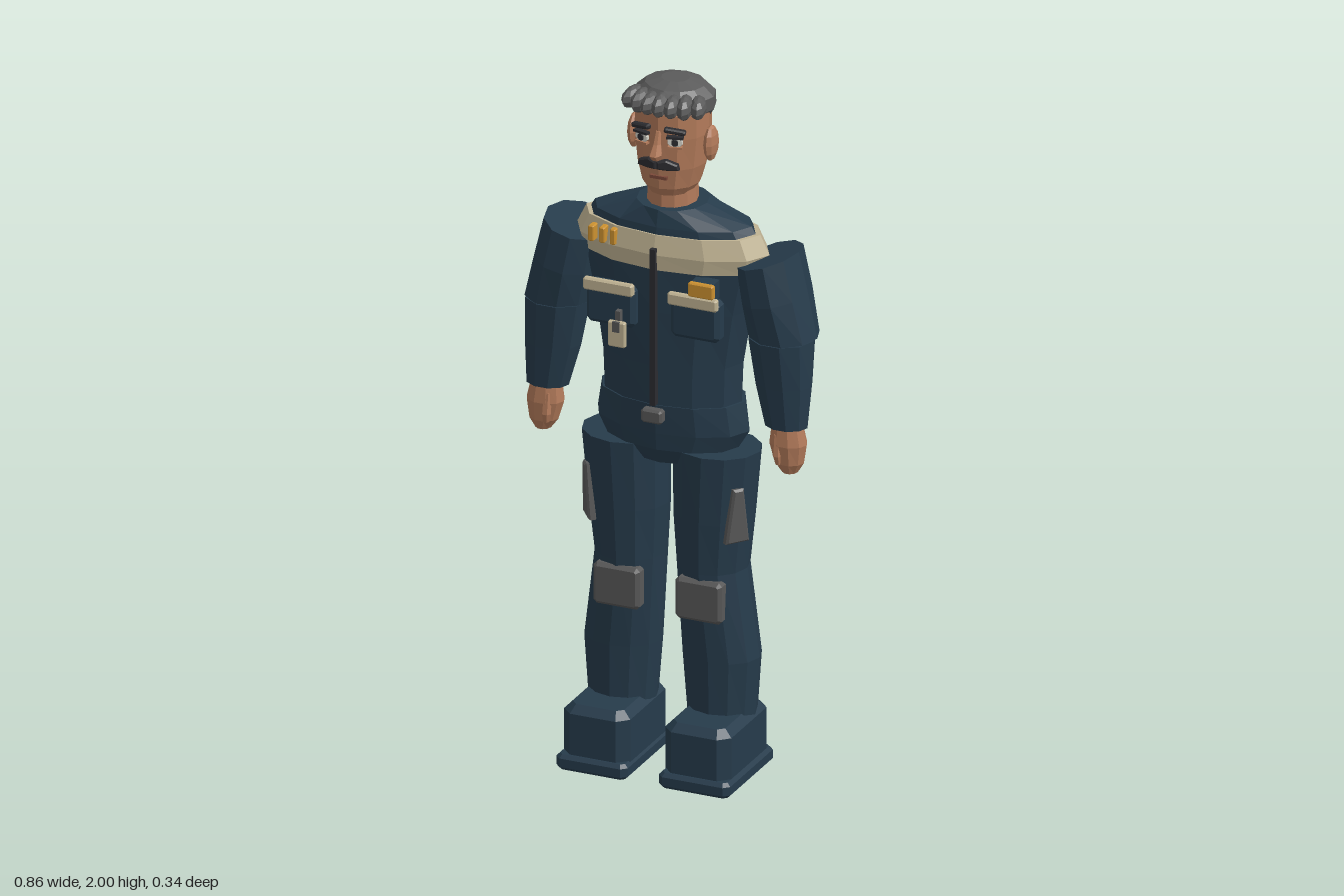
import * as THREE from 'three';

const mat = (name, color, double) => {
  const m = new THREE.MeshStandardMaterial({ color, flatShading: true });
  m.name = name;
  if (double) m.side = THREE.DoubleSide;
  return m;
};

export function createModel() {
  const navy = mat('navy cloth', 0x263b4b);
  const cream = mat('cream trim', 0xc0b393);
  const gold = mat('gold', 0xcc9130);
  const grey = mat('grey padding', 0x585858);
  const hairGrey = mat('grey hair', 0x5b5b5b);
  const skin = mat('skin', 0xb27a5a);
  const dark = mat('dark', 0x2c2c30);
  const white = mat('eye white', 0xd8d6cc);
  const lip = mat('lip', 0x7d4a3a);

  const model = new THREE.Group();
  model.name = 'uniformedMan';

  const add = (name, geo, material, x = 0, y = 0, z = 0) => {
    const m = new THREE.Mesh(geo, material);
    m.name = name;
    m.position.set(x, y, z);
    model.add(m);
    return m;
  };

  // Closed skin over elliptical rings, listed bottom up: [y, cx, cz, rx, rz, slope]
  const loft = (rings, n = 12) => {
    const pos = [];
    const pt = ([y, cx, cz, rx, rz, slope = 0], i) => {
      const a = (i / n) * Math.PI * 2, dx = Math.cos(a) * rx;
      return [cx + dx, y + dx * slope, cz + Math.sin(a) * rz];
    };
    const tri = (...p) => p.forEach((v) => pos.push(...v));
    const last = rings.length - 1;
    for (let i = 0; i < n; i++) {
      for (let j = 0; j < last; j++) {
        const a = pt(rings[j], i), b = pt(rings[j + 1], i);
        const c = pt(rings[j + 1], i + 1), d = pt(rings[j], i + 1);
        tri(a, b, c);
        tri(a, c, d);
      }
      const [bot, top] = [rings[0], rings[last]];
      tri([bot[1], bot[0], bot[2]], pt(bot, i), pt(bot, i + 1));
      tri([top[1], top[0], top[2]], pt(top, i + 1), pt(top, i));
    }
    const g = new THREE.BufferGeometry();
    g.setAttribute('position', new THREE.Float32BufferAttribute(pos, 3));
    g.computeVertexNormals();
    return g;
  };

  // Bevelled plate centred on its own depth, facing +z
  const plate = (pts, depth, bevel) => {
    const g = new THREE.ExtrudeGeometry(new THREE.Shape(pts.map((p) => new THREE.Vector2(...p))), {
      depth: depth - 2 * bevel, bevelEnabled: bevel > 0, bevelSize: bevel,
      bevelThickness: bevel, bevelOffset: -bevel, bevelSegments: 1,
    });
    return g.translate(0, 0, bevel - depth / 2);
  };
  const chamferBox = (w, h, d, c, bevel = c) => {
    const x = w / 2, y = h / 2;
    return plate([[-x + c, -y], [x - c, -y], [x, -y + c], [x, y - c],
      [x - c, y], [-x + c, y], [-x, y - c], [-x, -y + c]], d, bevel);
  };
  const box = (w, h, d) => new THREE.BoxGeometry(w, h, d);

  // Torso, shoulders and pelvis
  add('pelvis', loft([
    [0.905, 0, -0.035, 0.11, 0.085], [0.95, 0, -0.04, 0.195, 0.11],
    [1.0, 0, -0.045, 0.225, 0.12], [1.085, 0, -0.045, 0.212, 0.125],
  ]), navy);
  add('jacket', loft([
    [1.07, 0, -0.042, 0.203, 0.119], [1.2, 0, -0.042, 0.208, 0.121],
    [1.36, 0, -0.042, 0.235, 0.123], [1.5, 0, -0.042, 0.268, 0.123], [1.56, 0, -0.042, 0.268, 0.12],
  ]), navy);
  add('yoke', loft([
    [1.485, 0, -0.043, 0.268, 0.126], [1.53, 0, -0.043, 0.285, 0.13], [1.585, 0, -0.043, 0.258, 0.118],
  ]), cream);
  add('shoulders', loft([
    [1.575, 0, -0.043, 0.25, 0.115], [1.605, 0, -0.043, 0.232, 0.112], [1.652, 0, -0.042, 0.1, 0.1],
  ]), navy);

  // Zip and buckle
  add('zip', box(0.016, 0.46, 0.024), dark, 0, 1.32, 0.085);
  add('buckle', chamferBox(0.062, 0.04, 0.03, 0.006), grey, 0, 1.06, 0.091);

  // Chest pockets with trimmed flaps
  for (const s of [-1, 1]) {
    add('chestPocket', chamferBox(0.145, 0.12, 0.05, 0.012), navy, s * 0.125, 1.365, 0.075);
    add('pocketTrim', chamferBox(0.148, 0.036, 0.02, 0.005), cream, s * 0.125, 1.423, 0.105);
  }
  add('badgeBar', chamferBox(0.075, 0.042, 0.018, 0.004), gold, 0.15, 1.46, 0.105);
  add('badgeBacking', box(0.066, 0.05, 0.04), navy, 0.15, 1.455, 0.078);
  for (let i = 0; i < 3; i++) add('rankBar', chamferBox(0.017, 0.046, 0.03, 0.003), gold, -0.19 + i * 0.032, 1.557, 0.065);
  add('passCard', chamferBox(0.052, 0.075, 0.016, 0.004), cream, -0.093, 1.295, 0.12);
  add('passClip', box(0.02, 0.03, 0.008), grey, -0.093, 1.318, 0.127);
  add('passStrap', box(0.014, 0.05, 0.02), grey, -0.093, 1.335, 0.108);

  // Limbs, built once per side
  for (const s of [-1, 1]) {
    add('upperArm', loft([
      [1.305, s * 0.334, -0.033, 0.097, 0.095, s * 0.1],
      [1.42, s * 0.309, -0.04, 0.092, 0.112, s * 0.2],
      [1.53, s * 0.286, -0.043, 0.086, 0.112, s * 0.3],
    ], 10), navy);
    add('forearm', loft([
      [1.06, s * 0.354, -0.002, 0.062, 0.05], [1.18, s * 0.342, -0.012, 0.082, 0.068],
      [1.31, s * 0.331, -0.022, 0.094, 0.088],
    ], 10), navy);
    add('hand', loft([
      [0.926, s * 0.366, 0, 0.022, 0.024], [0.955, s * 0.364, 0, 0.042, 0.037],
      [1.01, s * 0.36, 0, 0.055, 0.043], [1.07, s * 0.357, 0, 0.044, 0.036],
    ], 10), skin);
    add('thumb', loft([
      [0.955, s * 0.345, 0.032, 0.009, 0.008], [0.98, s * 0.343, 0.034, 0.014, 0.013],
      [1.04, s * 0.342, 0.026, 0.013, 0.012],
    ], 6), skin);

    add('leg', loft([
      [0.17, s * 0.147, -0.04, 0.097, 0.09], [0.34, s * 0.146, -0.04, 0.111, 0.094],
      [0.6, s * 0.122, -0.037, 0.1, 0.1], [0.75, s * 0.126, -0.035, 0.114, 0.105],
      [0.95, s * 0.135, -0.033, 0.125, 0.108],
    ]), navy);
    add('kneePad', chamferBox(0.138, 0.122, 0.045, 0.01), grey, s * 0.122, 0.523, 0.047);
    const pocket = add('thighPocket', plate(
      [[-0.036, -0.08], [0.036, -0.08], [0.016, 0.08], [-0.016, 0.08]], 0.026, 0.006,
    ), grey, s * 0.219, 0.78, 0.027);
    pocket.rotation.set(0.04, s * 0.92, 0, 'YXZ');

    // Boots
    const upper = add('boot', chamferBox(0.196, 0.29, 0.175, 0.03, 0.022), navy, s * 0.15, 0.1, 0.01);
    const sole = add('bootSole', chamferBox(0.212, 0.31, 0.045, 0.016, 0.01), navy, s * 0.152, 0.0225, 0.015);
    upper.rotation.x = sole.rotation.x = -Math.PI / 2;
  }

  // Neck and head
  add('neck', loft([[1.63, 0, -0.04, 0.07, 0.076], [1.72, 0, -0.04, 0.067, 0.074]]), skin);
  add('head', loft([
    [1.688, 0, -0.032, 0.062, 0.07], [1.712, 0, -0.035, 0.08, 0.086], [1.77, 0, -0.039, 0.096, 0.096],
    [1.86, 0, -0.041, 0.106, 0.1], [1.93, 0, -0.043, 0.106, 0.1], [1.975, 0, -0.045, 0.075, 0.07],
  ]), skin);
  add('nose', loft([
    [1.806, 0, 0.066, 0.014, 0.018], [1.822, 0, 0.074, 0.018, 0.024],
    [1.85, 0, 0.063, 0.011, 0.015], [1.885, 0, 0.054, 0.008, 0.008],
  ], 6).rotateY(0), skin);
  add('mouth', box(0.05, 0.009, 0.012), lip, 0, 1.748, 0.053);

  for (const s of [-1, 1]) {
    const ear = add('ear', new THREE.SphereGeometry(1, 8, 6), skin, s * 0.113, 1.832, -0.04);
    ear.scale.set(0.018, 0.052, 0.034);
    const eye = new THREE.Group();
    eye.name = 'eye';
    eye.position.set(s * 0.048, 1.86, 0.05);
    eye.rotation.y = s * 0.27;
    model.add(eye);
    const part = (name, geo, m, x, y, z, tilt = 0) => {
      const p = add(name, geo, m, x, y, z);
      p.rotation.z = tilt;
      eye.add(p);
    };
    part('eyeWhite', chamferBox(0.042, 0.026, 0.01, 0.008, 0.002), white, 0, 0, 0.004);
    part('pupil', chamferBox(0.018, 0.02, 0.006, 0.005, 0.001), dark, 0, 0, 0.01);
    part('eyelid', box(0.046, 0.007, 0.016), dark, 0, 0.014, 0.006);
    part('lowerLid', box(0.04, 0.006, 0.014), skin, 0, -0.016, 0.005);
    part('eyebrow', chamferBox(0.06, 0.014, 0.02, 0.004), dark, 0, 0.033, 0.008, -s * 0.12);
    // Half of the moustache, drooping outward
    const tash = add('moustache', plate(
      [[0, -0.012], [s * 0.03, -0.014], [s * 0.062, -0.012], [s * 0.058, 0.004], [s * 0.025, 0.016], [0, 0.01]]
        .slice().sort(() => 0), 0.022, 0.004,
    ), dark, 0, 1.789, 0.064);
    tash.rotation.y = s * 0.25;
  }

  // Hair: cap plus a fringe of swept locks
  add('hair', loft([
    [1.905, 0, -0.062, 0.1, 0.085], [1.925, 0, -0.056, 0.114, 0.098], [1.962, 0, -0.054, 0.114, 0.098],
    [1.988, 0, -0.055, 0.085, 0.075], [2.0, 0, -0.057, 0.04, 0.036],
  ]), hairGrey);
  for (let i = -3; i <= 3; i++) {
    const lock = add('hairLock', new THREE.SphereGeometry(1, 8, 6), hairGrey,
      i * 0.032, 1.954 - Math.abs(i) * 0.001, 0.036 - i * i * 0.0033);
    lock.scale.set(0.023, 0.033 - (i & 1 ? 0.003 : 0), 0.046);
    lock.rotation.set(0.15, i * 0.1, 0, 'YXZ');
  }

  return model;
}
